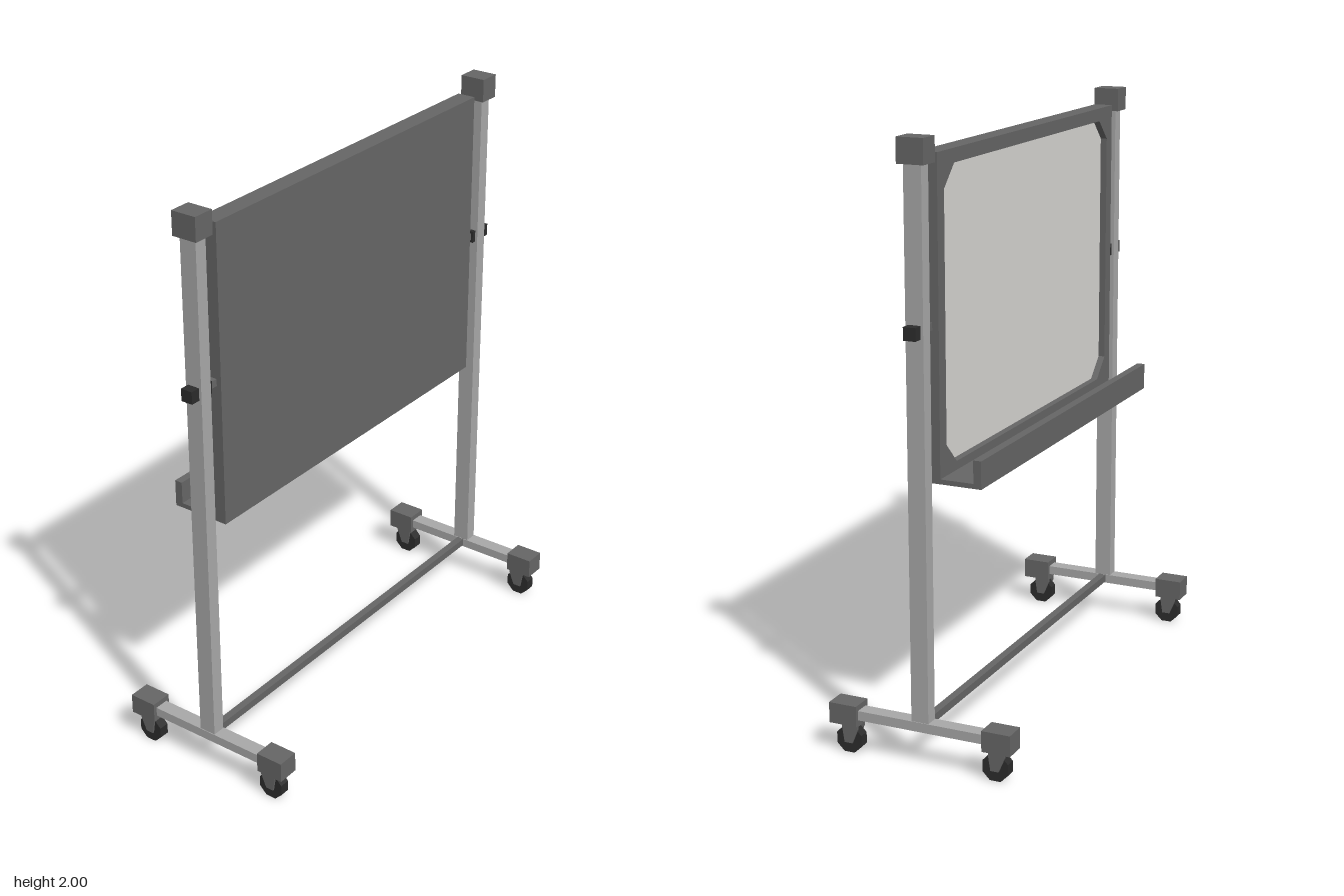
import * as THREE from 'three';

const paint = (name, color) => {
  const m = new THREE.MeshStandardMaterial({ color });
  m.name = name;
  m.flatShading = true;
  return m;
};

export function createModel() {
  const metal = paint('light metal', 0xa8a8a8);
  const dark = paint('dark grey plastic', 0x666666);
  const black = paint('black rubber', 0x2c2c2c);
  const white = paint('writing surface', 0xd8d6d3);

  const root = new THREE.Group();
  root.name = 'rollingBoard';

  const add = (parent, name, geometry, material, x = 0, y = 0, z = 0) => {
    const mesh = new THREE.Mesh(geometry, material);
    mesh.name = name;
    mesh.position.set(x, y, z);
    parent.add(mesh);
    return mesh;
  };
  // Box given by its lower and upper limits on each axis
  const box = (parent, name, material, [x0, x1], [y0, y1], [z0, z1]) =>
    add(parent, name, new THREE.BoxGeometry(x1 - x0, y1 - y0, z1 - z0), material,
      (x0 + x1) / 2, (y0 + y1) / 2, (z0 + z1) / 2);

  // Fork side plate, drawn in the z-y plane and extruded along x
  const forkShape = new THREE.Shape([
    [-0.035, 0.105], [0.022, 0.105], [0.022, 0.085], [0.014, 0.035], [-0.014, 0.035], [-0.035, 0.085],
  ].map(([z, y]) => new THREE.Vector2(z, y)));
  const forkGeometry = new THREE.ExtrudeGeometry(forkShape, { depth: 0.006, bevelEnabled: false });
  forkGeometry.translate(0, 0, -0.003);
  forkGeometry.rotateY(-Math.PI / 2);

  // Octagonal wheel with its axle along x
  const wheelGeometry = new THREE.CylinderGeometry(0.048, 0.048, 0.036, 8);
  wheelGeometry.rotateY(Math.PI / 8);
  wheelGeometry.rotateZ(Math.PI / 2);

  const makeCaster = () => {
    const caster = new THREE.Group();
    caster.name = 'caster';
    for (const s of [-1, 1]) add(caster, 'forkPlate', forkGeometry, dark, s * 0.021);
    box(caster, 'forkBridge', dark, [-0.024, 0.024], [0.09, 0.105], [-0.03, 0.02]);
    add(caster, 'wheel', wheelGeometry, black, 0, 0.045);
    return caster;
  };

  // Side stands: post, foot, caps, casters and pivot
  for (const s of [-1, 1]) {
    const stand = new THREE.Group();
    stand.name = s > 0 ? 'leftStand' : 'rightStand';
    stand.position.x = s * 0.76;
    box(stand, 'post', metal, [-0.0225, 0.0225], [0.14, 1.94], [-0.03, 0.03]);
    box(stand, 'postCap', dark, [-0.038, 0.038], [1.92, 2], [-0.045, 0.045]);
    box(stand, 'foot', metal, [-0.025, 0.025], [0.12, 0.152], [-0.27, 0.27]);
    for (const e of [-1, 1]) {
      add(stand, 'footCap', new THREE.BoxGeometry(0.076, 0.07, 0.098), dark, 0, 0.136, e * 0.271);
      const caster = makeCaster();
      caster.position.z = e * 0.26;
      stand.add(caster);
    }
    add(stand, 'pivotKnob', new THREE.BoxGeometry(0.034, 0.042, 0.042), black, s * 0.039, 1.415);
    add(stand, 'pivotCollar', new THREE.BoxGeometry(0.016, 0.042, 0.042), black, -s * 0.03, 1.415);
    add(stand, 'pivotRod', new THREE.BoxGeometry(0.045, 0.024, 0.026), dark, -s * 0.055, 1.415);
    root.add(stand);
  }

  box(root, 'crossbar', dark, [-0.74, 0.74], [0.125, 0.152], [-0.013, 0.013]);

  // Board with a raised rear frame around the writing surface
  const board = new THREE.Group();
  board.name = 'board';
  root.add(board);
  const W = 0.69, B = 0.917, T = 1.945, rim = 0.045, c = 0.07;
  box(board, 'frontPanel', dark, [-W, W], [B, T], [-0.008, 0.03]);

  // Rectangle outline with cut corners
  const cutRect = (Path, x, y0, y1, k) => new Path([
    [-x + k, y0], [x - k, y0], [x, y0 + k], [x, y1 - k],
    [x - k, y1], [-x + k, y1], [-x, y1 - k], [-x, y0 + k],
  ].map(([a, b]) => new THREE.Vector2(a, b)));

  const frameShape = new THREE.Shape([
    new THREE.Vector2(-W, B), new THREE.Vector2(W, B), new THREE.Vector2(W, T), new THREE.Vector2(-W, T),
  ]);
  frameShape.holes.push(cutRect(THREE.Path, W - rim, B + rim, T - rim, c));
  add(board, 'rearFrame', new THREE.ExtrudeGeometry(frameShape, { depth: 0.027, bevelEnabled: false }),
    dark, 0, 0, -0.035);

  const surface = cutRect(THREE.Shape, W - rim, B + rim, T - rim, c);
  add(board, 'writingSurface', new THREE.ExtrudeGeometry(surface, { depth: 0.004, bevelEnabled: false }),
    white, 0, 0, -0.012);

  // Pen tray along the rear bottom edge
  box(board, 'trayFloor', dark, [-W, W], [B, 0.933], [-0.15, -0.035]);
  box(board, 'trayLip', dark, [-W, W], [B, 1.008], [-0.175, -0.148]);

  return root;
}
